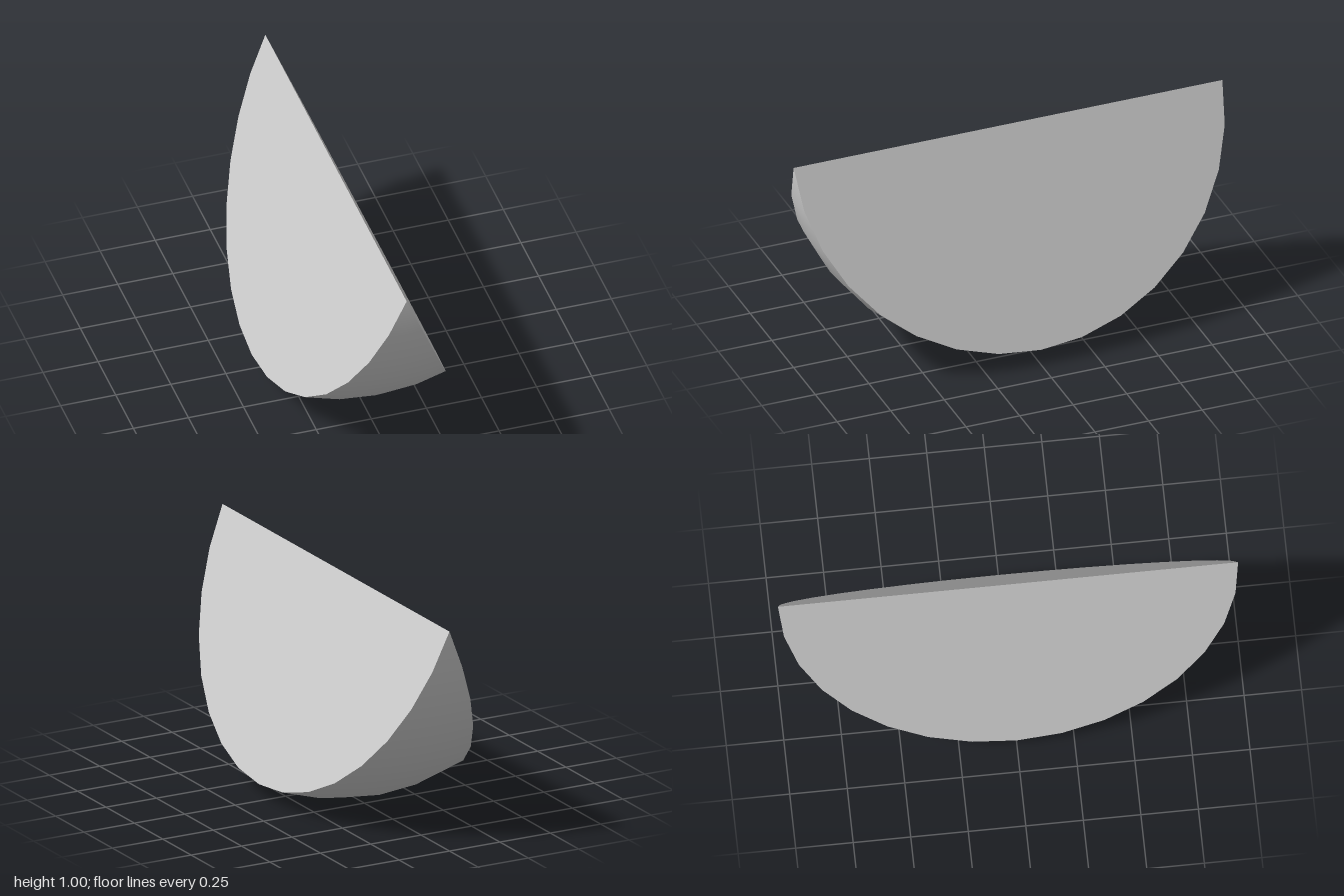
import * as THREE from 'three';

const RADIUS = 1;
const HALF_ANGLE = Math.PI / 8; // the wedge spans 45 degrees
const ARC_SEGMENTS = 16;

export function createModel() {
  const group = new THREE.Group();
  group.name = 'sphereWedge';
  const material = new THREE.MeshStandardMaterial({ color: 0xcccccc });

  const add = (name, geometry) => {
    const mesh = new THREE.Mesh(geometry, material);
    mesh.name = name;
    mesh.position.y = RADIUS;
    group.add(mesh);
  };

  // Curved rind: a sphere slice with its poles on the z axis, bulging down
  const rind = new THREE.SphereGeometry(
    RADIUS, 4, ARC_SEGMENTS, Math.PI / 2 - HALF_ANGLE, HALF_ANGLE * 2, 0, Math.PI
  );
  rind.rotateX(Math.PI / 2);
  add('rind', rind);

  // Flat half-disc cut faces, meeting along the straight top edge
  for (const side of [1, -1]) {
    const along = new THREE.Vector3(0, 0, side);
    const down = new THREE.Vector3(side * Math.sin(HALF_ANGLE), -Math.cos(HALF_ANGLE), 0);
    const normal = new THREE.Vector3().crossVectors(along, down);
    const face = new THREE.CircleGeometry(RADIUS, ARC_SEGMENTS, 0, Math.PI);
    face.applyMatrix4(new THREE.Matrix4().makeBasis(along, down, normal));
    add(side > 0 ? 'leftCutFace' : 'rightCutFace', face);
  }

  return group;
}
